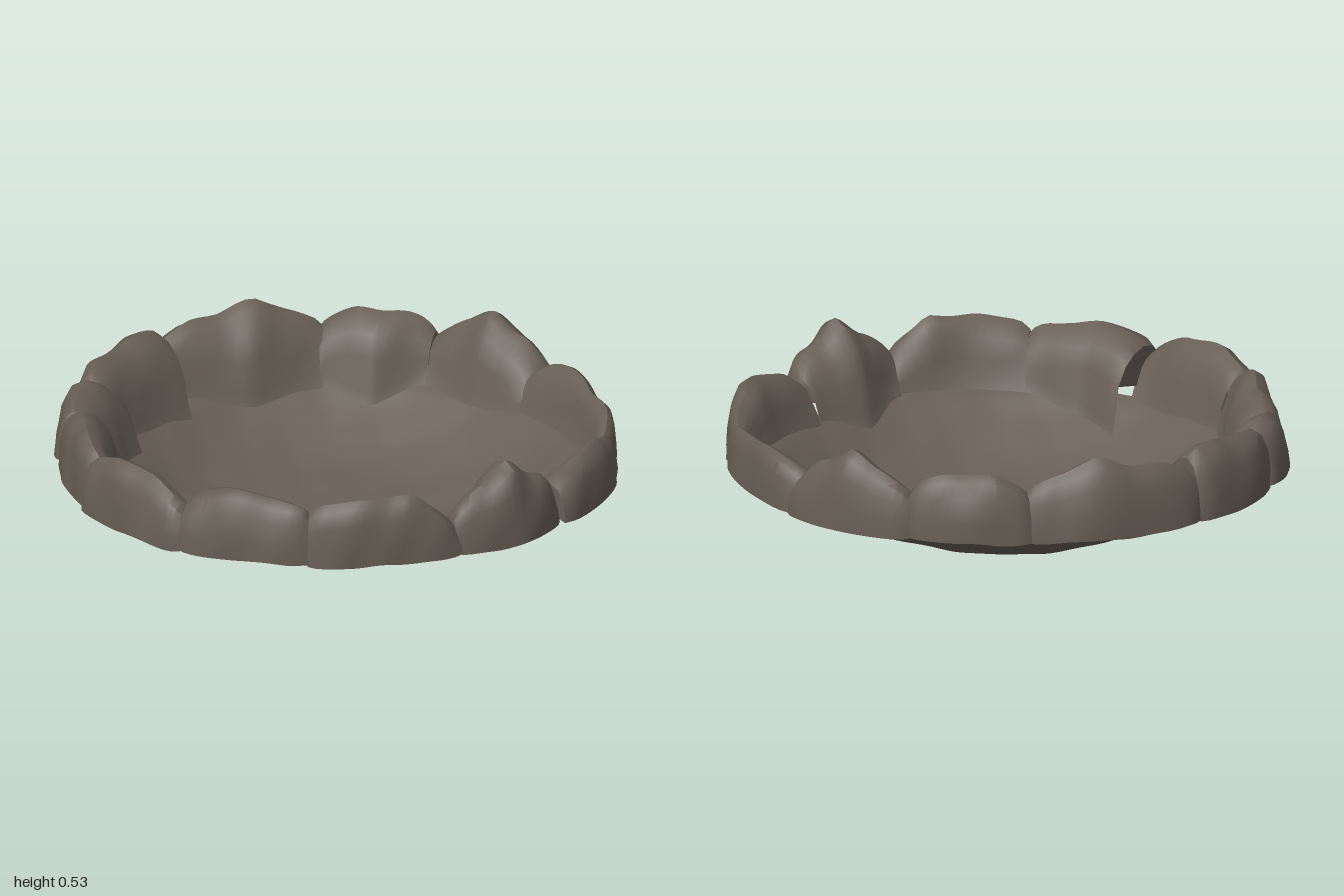
import * as THREE from 'three';
import { mergeVertices, toCreasedNormals } from 'three/addons/utils/BufferGeometryUtils.js';

const stone = new THREE.MeshStandardMaterial({ color: 0x675e55, side: THREE.DoubleSide });
stone.name = 'grey brown stone';

// Bowl profile: radius, height
const PROFILE = [[0, 0.007], [0.15, 0.014], [0.3, 0.028], [0.38, 0.038], [0.45, 0.052], [0.51, 0.072],
  [0.57, 0.096], [0.64, 0.136], [0.72, 0.19], [0.79, 0.242], [0.84, 0.26], [1, 0.275]];

// Rim stones: start and end angle (degrees from +x towards +z), outer radii, inner radii, heights
const ROCKS = [
  { a: [-15, 15], out: [0.97, 0.995, 0.99], inn: [0.82, 0.78, 0.8], h: [0.42, 0.47, 0.535, 0.47, 0.38] },
  { a: [14, 53], out: [0.97, 0.965, 0.97], inn: [0.81, 0.84, 0.88], h: [0.41, 0.43, 0.42, 0.39] },
  { a: [51, 88], out: [0.97, 0.985, 0.98], inn: [0.88, 0.83, 0.79], h: [0.36, 0.4, 0.45, 0.44, 0.41] },
  { a: [89, 117], out: [0.96, 0.99, 0.96], inn: [0.8, 0.73, 0.82], h: [0.42, 0.46, 0.535, 0.47, 0.41] },
  { a: [116, 149], out: [0.97, 0.96, 0.98], inn: [0.83, 0.82, 0.8], h: [0.37, 0.49, 0.47, 0.46] },
  { a: [148.5, 177], out: [0.96, 0.96, 0.99], inn: [0.8, 0.74, 0.68], h: [0.44, 0.47, 0.48, 0.46] },
  { a: [176.5, 208], out: [1.0, 0.975, 0.985], inn: [0.81, 0.79, 0.81], h: [0.41, 0.48, 0.48, 0.45] },
  { a: [206.5, 237], out: [0.96, 0.955, 0.95], inn: [0.82, 0.76, 0.75], h: [0.44, 0.48, 0.46, 0.44] },
  { a: [235, 254], out: [0.97, 0.98, 0.965], inn: [0.8, 0.75, 0.73], h: [0.43, 0.46, 0.47, 0.43] },
  { a: [251, 280.5], out: [0.96, 0.985, 0.985], inn: [0.8, 0.77, 0.75], h: [0.45, 0.48, 0.49, 0.51, 0.49] },
  { a: [280.5, 320.5], out: [0.98, 0.98, 0.95], inn: [0.83, 0.74, 0.79], h: [0.45, 0.485, 0.48, 0.53, 0.48, 0.44] },
  { a: [319, 345.5], out: [0.965, 0.965, 0.96], inn: [0.79, 0.73, 0.82], h: [0.44, 0.48, 0.48, 0.44] },
];

// Piecewise interpolation of evenly spaced keys, t in 0..1, half eased
function sample(keys, t) {
  const f = t * (keys.length - 1);
  const i = Math.min(Math.floor(f), keys.length - 2);
  const u = f - i;
  return THREE.MathUtils.lerp(keys[i], keys[i + 1], u * u * (3 - 2 * u) * 0.5 + u * 0.5);
}

function bowlHeight(r) {
  const i = Math.max(1, PROFILE.findIndex(([pr]) => r <= pr));
  const [r0, y0] = PROFILE[i - 1], [r1, y1] = PROFILE[i];
  return y0 + (y1 - y0) * (r - r0) / (r1 - r0);
}

// Radius where the bowl ends under the stones, reaching further out below the thin ones
function rimRadius(deg) {
  let rim = 0.82;
  for (const { a, inn } of ROCKS) {
    const d = deg > a[1] && a[0] < 0 ? deg - 360 : deg;
    if (d >= a[0] && d <= a[1]) rim = Math.max(rim, sample(inn, (d - a[0]) / (a[1] - a[0])) + 0.015);
  }
  return rim;
}

// Gentle lumps for hewn stone
const lump = (x, y, z) =>
  Math.sin(x * 13 + z * 7 + y * 9) * Math.sin(z * 15 - x * 6) + 0.6 * Math.sin(x * 27 - y * 21) * Math.sin(z * 23 + x * 4);

function makeBowl() {
  const rings = 30;
  const pts = Array.from({ length: rings + 1 }, (_, i) => new THREE.Vector2(i / rings, 0));
  let geo = new THREE.LatheGeometry(pts, 120);
  geo.deleteAttribute('normal');
  geo.deleteAttribute('uv');
  geo = mergeVertices(geo, 1e-4);
  const p = geo.attributes.position;
  for (let i = 0; i < p.count; i++) {
    const deg = (THREE.MathUtils.radToDeg(Math.atan2(p.getZ(i), p.getX(i))) + 360) % 360;
    const rim = rimRadius(deg), x = p.getX(i) * rim, z = p.getZ(i) * rim;
    p.setXYZ(i, x, Math.max(0, bowlHeight(Math.hypot(x, z)) + 0.004 * lump(x, 0, z)), z);
  }
  geo.computeVertexNormals();
  const mesh = new THREE.Mesh(geo, stone);
  mesh.name = 'bowl';
  return mesh;
}

// Loft a hollow stone shell, open underneath, along an arc
function makeRock({ a, out, inn, h }, n) {
  const steps = 18, pos = [], idx = [];
  let count = 0;
  for (let i = 0; i <= steps; i++) {
    const t = i / steps;
    const end = Math.pow(Math.abs(2 * t - 1), 10); // ends round off
    const ang = THREE.MathUtils.degToRad(THREE.MathUtils.lerp(a[0], a[1], t));
    const R = sample(out, t) - 0.02 * end;
    const r = sample(inn, t);
    const top = sample(h, t) - 0.03 * end;
    const w = R - r, base = 0.252, rise = top - base, foot = bowlHeight(r);
    const section = [
      [R + 0.006, base], [R + 0.003, base + rise * 0.3], [R - w * 0.05, base + rise * 0.66],
      [R - w * 0.16, top - rise * 0.1], [R - w * 0.34, top], [R - w * 0.54, top - rise * 0.07],
      [R - w * 0.74, top - rise * 0.26], [r + w * 0.1, base + rise * 0.4],
      [r + w * 0.01, foot + 0.03], [r - 0.015, bowlHeight(r - 0.015)],
    ];
    count = section.length;
    section.forEach(([sr, sy], j) => {
      const x = sr * Math.cos(ang), z = sr * Math.sin(ang);
      const l = j < 8 ? 0.007 * lump(x + n, sy, z - n) : 0;
      const k = 1 + l / sr;
      pos.push(x * k, sy + l, z * k);
    });
  }
  for (let i = 0; i < steps; i++) {
    for (let j = 0; j < count - 1; j++) {
      const p = i * count + j, q = p + 1;
      idx.push(p, q, p + count, q, q + count, p + count);
    }
  }
  // End caps fan from the outer foot, above the bowl only
  const last = steps * count;
  for (let j = 1; j < count - 3; j++) {
    idx.push(0, j + 1, j, last, last + j, last + j + 1);
  }
  const geo = new THREE.BufferGeometry();
  geo.setAttribute('position', new THREE.Float32BufferAttribute(pos, 3));
  geo.setIndex(idx);
  const mesh = new THREE.Mesh(toCreasedNormals(geo, 0.8), stone);
  mesh.name = 'rimStone' + (n + 1);
  return mesh;
}

export function createModel() {
  const model = new THREE.Group();
  model.name = 'stoneBowl';
  model.add(makeBowl());
  const rim = new THREE.Group();
  rim.name = 'rimStones';
  ROCKS.forEach((rock, n) => rim.add(makeRock(rock, n)));
  model.add(rim);
  return model;
}
